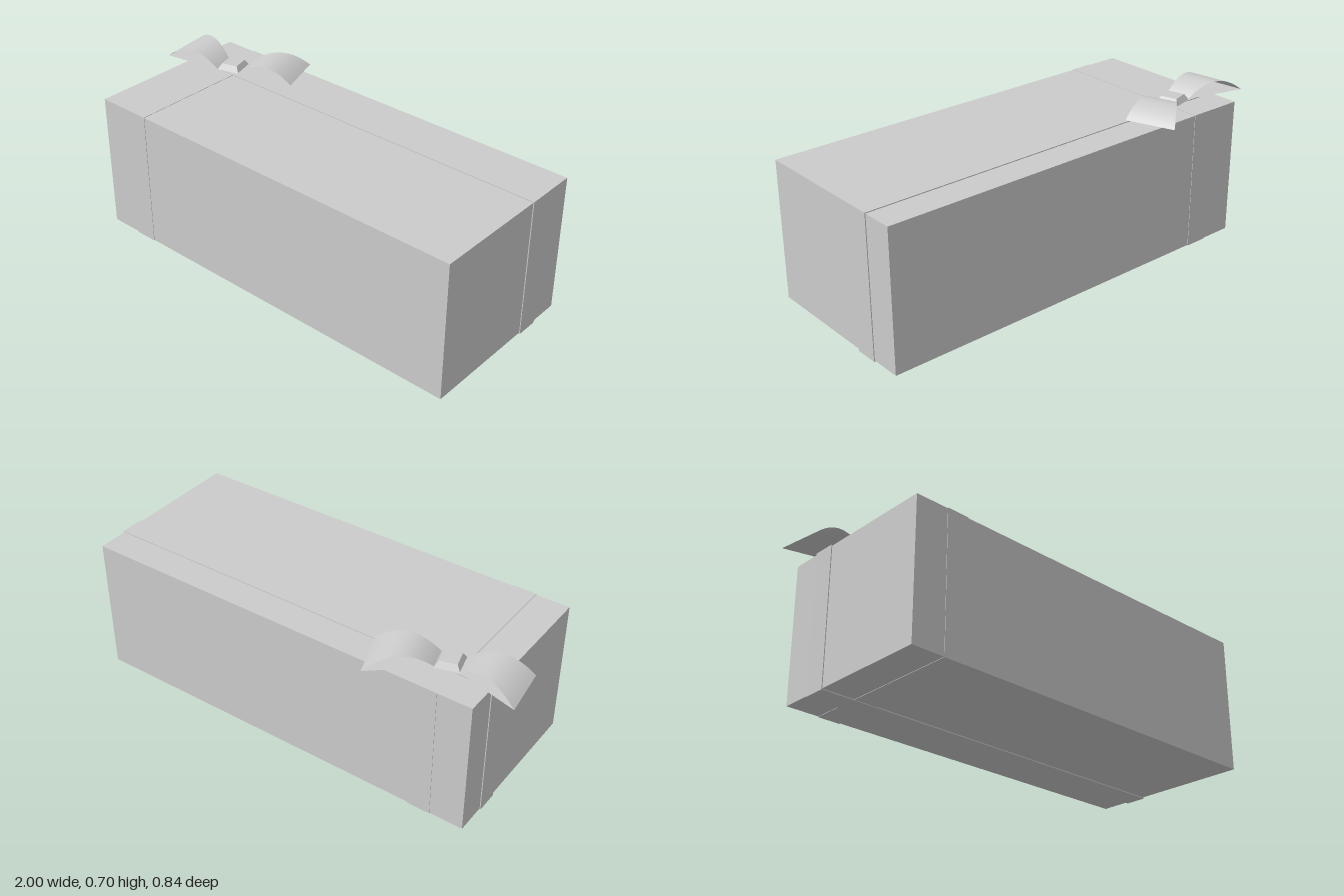
import * as THREE from 'three';

const grey = new THREE.MeshStandardMaterial({ color: 0xcccccc });
const thin = new THREE.MeshStandardMaterial({ color: 0xcccccc, side: THREE.DoubleSide });

// Box given by its minimum and maximum corners
function block(name, min, max) {
  const size = max.map((v, i) => v - min[i]);
  const mesh = new THREE.Mesh(new THREE.BoxGeometry(...size), grey);
  mesh.position.set(...max.map((v, i) => (v + min[i]) / 2));
  mesh.name = name;
  return mesh;
}

// Sheet between two edges, each running [x, z] start -> end, arched by height
function sheet(name, front, back, height, segments) {
  const geo = new THREE.PlaneGeometry(1, 1, segments, 1);
  const pos = geo.attributes.position;
  for (let i = 0; i < pos.count; i++) {
    const t = pos.getX(i) + 0.5;
    const [a, b] = pos.getY(i) > 0 ? back : front;
    pos.setXYZ(i,
      THREE.MathUtils.lerp(a[0], b[0], t),
      0.64 + height * 4 * t * (1 - t),
      THREE.MathUtils.lerp(a[1], b[1], t));
  }
  geo.computeVertexNormals();
  const mesh = new THREE.Mesh(geo, thin);
  mesh.name = name;
  return mesh;
}

// Bow loop: curved top over a flat strip
function bowLoop(name, front, back) {
  const loop = new THREE.Group();
  loop.name = name;
  loop.add(sheet('loopArch', front, back, 0.06, 20));
  loop.add(sheet('loopBase', front, back, 0, 1));
  return loop;
}

export function createModel() {
  const model = new THREE.Group();
  model.name = 'giftBox';

  // Wrapped box with two flat ribbons around it
  model.add(block('box', [-0.87, 0.005, -0.356], [0.995, 0.634, 0.419]));
  model.add(block('lengthRibbon', [-0.874, 0, -0.217], [0.999, 0.638, -0.115]));
  model.add(block('crossRibbon', [-0.717, 0.003, -0.358], [-0.612, 0.636, 0.421]));

  // Bow
  const bow = new THREE.Group();
  bow.name = 'bow';
  bow.add(bowLoop('rightLoop',
    [[-0.97, -0.055], [-0.70, -0.105]],
    [[-1.0, -0.28], [-0.725, -0.21]]));
  bow.add(bowLoop('leftLoop',
    [[-0.60, -0.135], [-0.34, -0.205]],
    [[-0.63, -0.235], [-0.415, -0.42]]));

  // Tapered square knot
  const knotGeo = new THREE.CylinderGeometry(0.075 / Math.SQRT2, 0.106 / Math.SQRT2, 0.027, 4)
    .rotateY(Math.PI / 4).toNonIndexed();
  knotGeo.computeVertexNormals();
  const knot = new THREE.Mesh(knotGeo, grey);
  knot.name = 'knot';
  knot.position.set(-0.664, 0.6515, -0.173);
  knot.rotation.y = 0.27;
  bow.add(knot);

  model.add(bow);
  return model;
}
